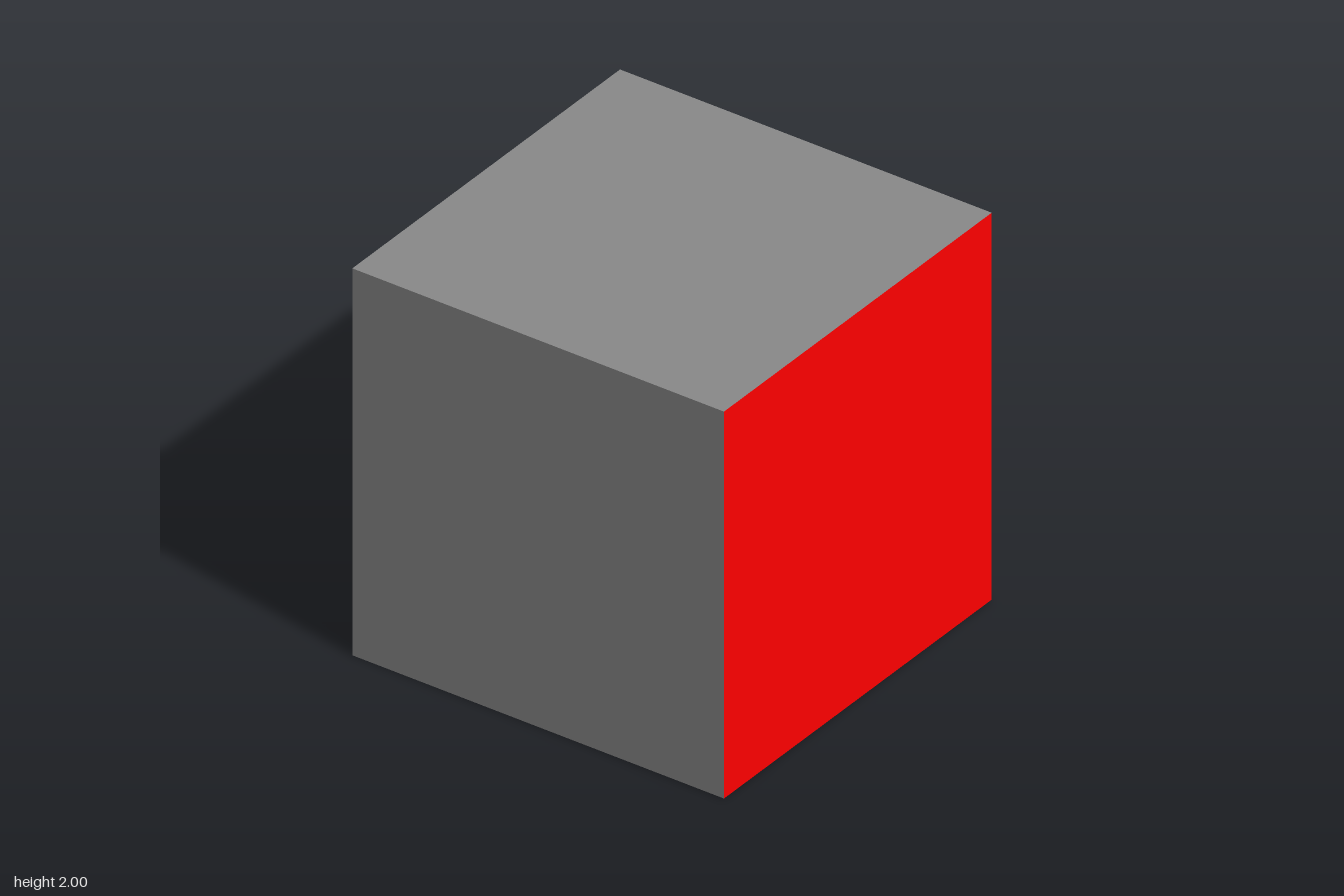
import * as THREE from 'three';

const paint = (color) => new THREE.MeshStandardMaterial({ color, side: THREE.DoubleSide });

export function createModel() {
  const model = new THREE.Group();
  const grey = paint(0x8a8a8a);

  function add(name, geometry, material, position, rotation = [0, 0, 0]) {
    const mesh = new THREE.Mesh(geometry, material);
    mesh.name = name;
    mesh.position.set(...position);
    mesh.rotation.set(...rotation);
    model.add(mesh);
  }

  // Room: five thin sheets, open on the +x side
  const sheet = new THREE.PlaneGeometry(2, 2);
  const q = Math.PI / 2;
  add('floor', sheet, grey, [0, 0, 0], [-q, 0, 0]);
  add('ceiling', sheet, grey, [0, 2, 0], [q, 0, 0]);
  add('endWall', sheet, grey, [-1, 1, 0], [0, q, 0]);
  add('redWall', sheet, paint(0xff0000), [0, 1, 1], [0, Math.PI, 0]);
  add('greenWall', sheet, paint(0x00fa00), [0, 1, -1]);

  // Square lamp panel just under the ceiling
  add('ceilingLight', new THREE.PlaneGeometry(1, 1), paint(0xcccccc), [0, 1.99, 0], [q, 0, 0]);

  // Two turned blocks, a hair above the floor
  function block(name, side, bottom, top, x, z, degrees) {
    add(name, new THREE.BoxGeometry(side, top - bottom, side), grey,
      [x, (bottom + top) / 2, z], [0, THREE.MathUtils.degToRad(degrees), 0]);
  }
  block('tallBlock', 0.453, 0.015, 1.255, -0.386, 0.385, -2.65);
  block('shortBlock', 0.467, 0.01, 0.508, -0.248, -0.445, 34.5);

  // Ball resting on the short block
  add('ball', new THREE.SphereGeometry(0.205, 48, 32), paint(0x19009c), [-0.25, 0.712, -0.453]);

  return model;
}
